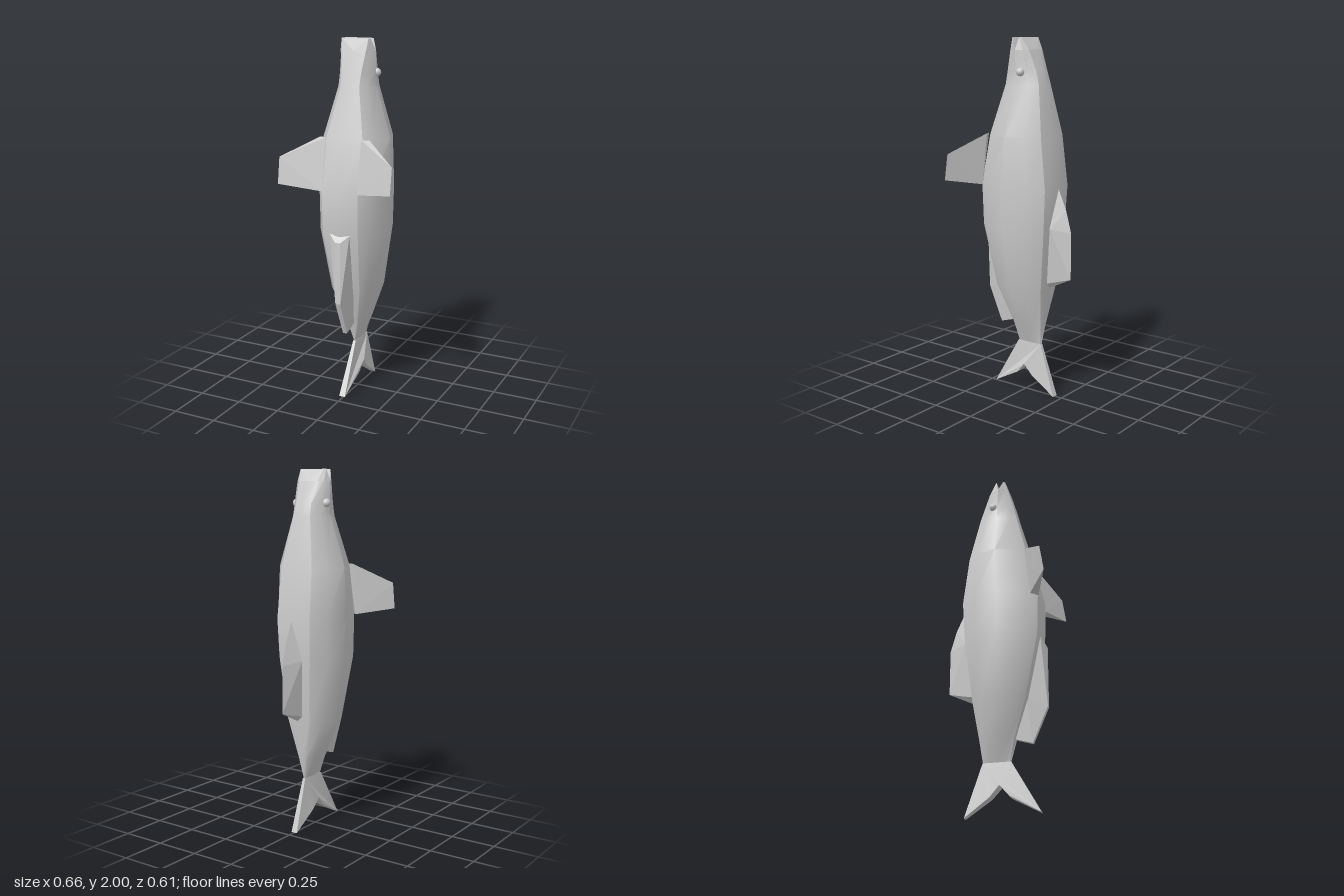
import * as THREE from 'three';
import { toCreasedNormals } from 'three/addons/utils/BufferGeometryUtils.js';
import { ConvexGeometry } from 'three/addons/geometries/ConvexGeometry.js';

const material = new THREE.MeshStandardMaterial({ color: 0xcccccc });

function part(name, geometry) {
  const mesh = new THREE.Mesh(geometry, material);
  mesh.name = name;
  return mesh;
}

function buildGeometry(positions, index) {
  const g = new THREE.BufferGeometry();
  g.setAttribute('position', new THREE.Float32BufferAttribute(positions, 3));
  g.setIndex(index);
  return g;
}

// Convex solid; points with mirrored = true are repeated at -x
function solid(name, points, mirrored = false, side = 1) {
  const list = [];
  for (const [x, y, z] of points) {
    list.push(new THREE.Vector3(x * side, y, z));
    if (mirrored && x !== 0) list.push(new THREE.Vector3(-x, y, z));
  }
  return part(name, new ConvexGeometry(list));
}

// Cross-section: half width w, belly z, back z, widest z, half widths of belly and back flats
function bodyRing([y, w, belly, back, mid, flat, ridge]) {
  const front = (t) => mid + (belly - mid) * t;
  const rear = (t) => mid + (back - mid) * t;
  const half = [
    [ridge, rear(0.93)], [w * 0.84, rear(0.57)], [w, mid],
    [w * 0.77, front(0.66)], [flat, front(0.92)],
  ];
  return [
    [0, back], ...half, [0, belly],
    ...half.slice().reverse().map(([x, z]) => [-x, z]),
  ].map(([x, z]) => [x, y, z]);
}

function loft(rings) {
  const n = rings[0].length, index = [];
  for (let i = 0; i < rings.length - 1; i++) {
    for (let j = 0; j < n; j++) {
      const a = i * n + j, b = i * n + (j + 1) % n;
      index.push(a, a + n, b, b, a + n, b + n);
    }
  }
  const top = (rings.length - 1) * n;
  for (let j = 1; j < n - 1; j++) {
    index.push(0, j, j + 1, top, top + j + 1, top + j);
  }
  return toCreasedNormals(buildGeometry(rings.flat(2), index), 0.6);
}

// Plate in the z-y plane with its own half thickness at each corner [z, y, thickness]
function plate(corners) {
  const n = corners.length, index = [];
  const outline = corners.map(([z, y]) => new THREE.Vector2(z, y));
  const positions = [1, -1].flatMap((s) => corners.flatMap(([z, y, t]) => [s * t, y, z]));
  const clockwise = THREE.ShapeUtils.isClockWise(outline);
  for (const [a, b, c] of THREE.ShapeUtils.triangulateShape(outline, [])) {
    const p = outline[a], q = outline[b], r = outline[c];
    const ccw = (q.x - p.x) * (r.y - p.y) - (q.y - p.y) * (r.x - p.x) > 0;
    const [u, v] = ccw ? [c, b] : [b, c];
    index.push(a, u, v, a + n, v + n, u + n);
  }
  for (let i = 0; i < n; i++) {
    const [a, b] = clockwise ? [i, (i + 1) % n] : [(i + 1) % n, i];
    index.push(a, a + n, b, b, a + n, b + n);
  }
  return toCreasedNormals(buildGeometry(positions, index), 0.5);
}

export function createModel() {
  const model = new THREE.Group();
  model.name = 'fish';

  // Body from tail root to the corner of the mouth
  const sections = [
    [0.29, 0.008, 0.045, -0.11, -0.03, 0.005, 0.005],
    [0.41, 0.06, 0.075, -0.13, -0.02, 0.03, 0.025],
    [0.62, 0.145, 0.155, -0.165, 0, 0.08, 0.07],
    [0.97, 0.195, 0.235, -0.208, 0.01, 0.105, 0.1],
    [1.2, 0.197, 0.243, -0.222, 0.01, 0.107, 0.107],
    [1.48, 0.193, 0.178, -0.187, 0, 0.107, 0.1],
    [1.75, 0.107, 0.105, -0.135, -0.01, 0.055, 0.055],
    [1.82, 0.103, 0.088, -0.115, -0.01, 0.058, 0.05],
    [1.935, 0.105, 0.055, -0.07, -0.005, 0.072, 0.06],
  ];
  model.add(part('body', loft(sections.map(bodyRing))));

  // Jaws forming an open wedge
  model.add(solid('upperJaw', [
    [0.105, 1.935, -0.005], [0.088, 1.935, -0.042], [0.06, 1.935, -0.066], [0, 1.935, -0.07],
    [0.085, 2, -0.018], [0.075, 2, -0.027],
  ], true));
  model.add(solid('lowerJaw', [
    [0.105, 1.935, -0.005], [0.081, 1.935, 0.035], [0.072, 1.935, 0.05], [0, 1.935, 0.055],
    [0.085, 2, 0.022], [0.078, 2, 0.032],
  ], true));

  // Eyes and pectoral fins
  for (const side of [1, -1]) {
    const name = side > 0 ? 'left' : 'right';
    const eye = part(name + 'Eye', new THREE.SphereGeometry(0.023, 16, 12));
    eye.position.set(side * 0.097, 1.82, -0.035);
    model.add(eye);
    model.add(solid(name + 'PectoralFin', [
      [0.105, 1.485, 0.175], [0.145, 1.485, 0.158], [0.105, 1.2, 0.228], [0.145, 1.2, 0.19],
      [0.33, 1.38, 0.283], [0.33, 1.235, 0.305],
    ], false, side));
  }

  // Dorsal fin: wedge with a sharp ridge
  model.add(solid('dorsalFin', [
    [0, 1.2, -0.22], [0, 1.08, -0.272], [0, 0.96, -0.305], [0, 0.7, -0.305], [0, 0.63, -0.16],
    [0.055, 0.98, -0.2], [0.03, 0.66, -0.155],
  ], true));

  // Anal fin: keel with a narrow flat front
  model.add(solid('analFin', [
    [0.06, 0.97, 0.225], [0.015, 0.93, 0.25], [0.015, 0.58, 0.25], [0.012, 0.38, 0.165],
    [0.01, 0.41, 0.065], [0.045, 0.62, 0.14],
  ], true));

  // Forked tail fin
  model.add(part('tailFin', plate([
    [0.045, 0.29, 0.008], [0.205, 0.01, 0.018], [0.04, 0.1, 0.03], [-0.012, 0.16, 0.035],
    [-0.065, 0.1, 0.03], [-0.205, 0, 0.018], [-0.11, 0.29, 0.008],
  ])));

  return model;
}
